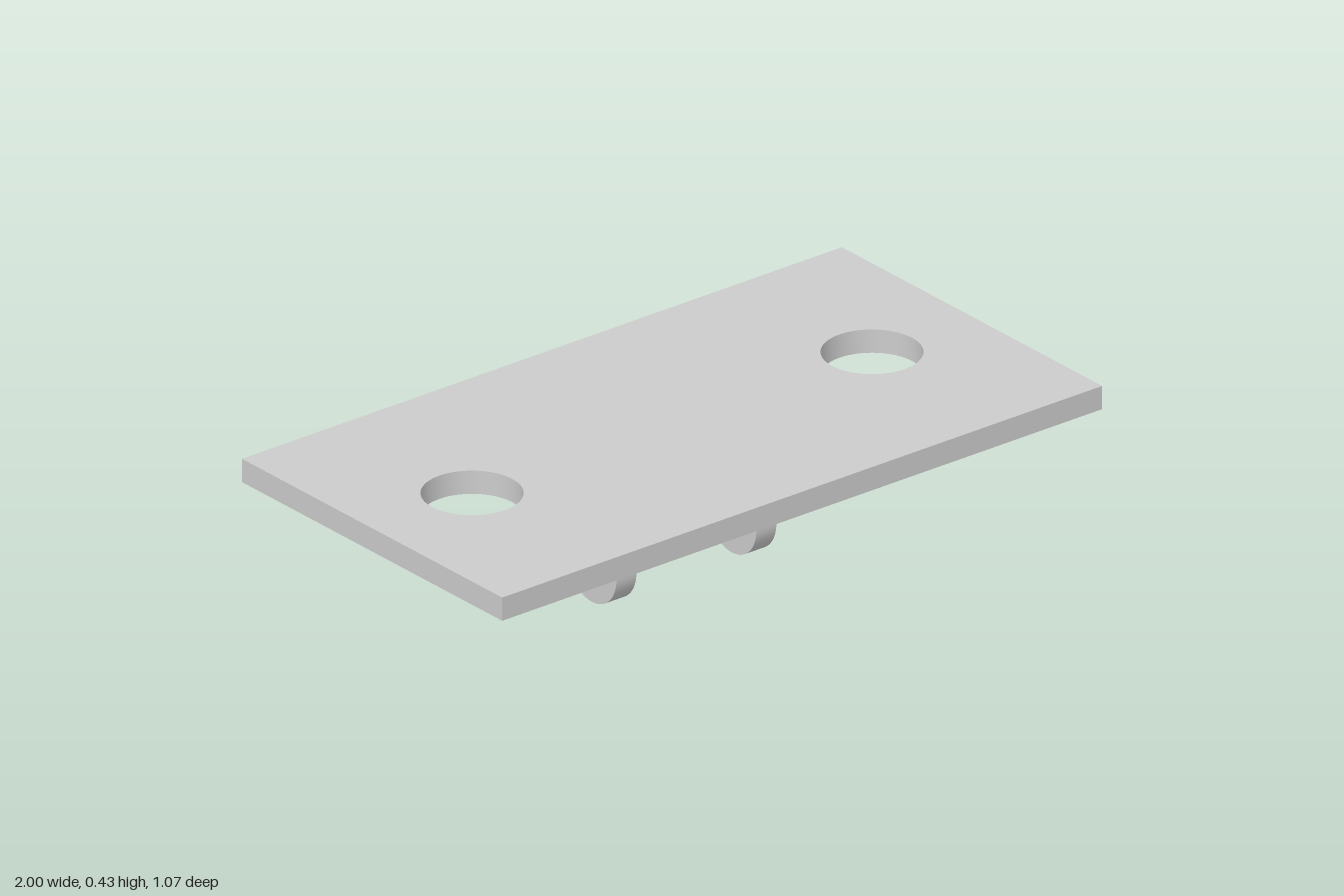
import * as THREE from 'three';
import { toCreasedNormals } from 'three/addons/utils/BufferGeometryUtils.js';

const THICK = 0.0667; // shared by plate and lugs
const PLATE_BOTTOM = 0.3675;
const HALF_DEPTH = 0.5333;
const LUG_RADIUS = 0.1;

const material = new THREE.MeshStandardMaterial({ color: 0xcccccc });

function circleHole(x, y, radius) {
  return new THREE.Path().absarc(x, y, radius, 0, Math.PI * 2, true);
}

// Extrudes a shape by the common thickness, keeping round walls smooth
function extrude(shape) {
  const geometry = new THREE.ExtrudeGeometry(shape, {
    depth: THICK, bevelEnabled: false, curveSegments: 32,
  });
  return toCreasedNormals(geometry, Math.PI / 6);
}

export function createModel() {
  const model = new THREE.Group();
  model.name = 'mountingBracket';

  // Flat rectangular plate with two large holes
  const plateShape = new THREE.Shape()
    .moveTo(-1, -HALF_DEPTH)
    .lineTo(1, -HALF_DEPTH)
    .lineTo(1, HALF_DEPTH)
    .lineTo(-1, HALF_DEPTH)
    .closePath();
  for (const side of [-1, 1]) plateShape.holes.push(circleHole(side * 0.6667, 0, 0.1333));
  const plate = new THREE.Mesh(extrude(plateShape).rotateX(-Math.PI / 2), material);
  plate.name = 'plate';
  plate.position.y = PLATE_BOTTOM;
  model.add(plate);

  // Round-ended lugs with pin holes, hanging under the plate
  const lugShape = new THREE.Shape()
    .moveTo(LUG_RADIUS, PLATE_BOTTOM)
    .lineTo(-LUG_RADIUS, PLATE_BOTTOM)
    .lineTo(-LUG_RADIUS, LUG_RADIUS)
    .absarc(0, LUG_RADIUS, LUG_RADIUS, Math.PI, Math.PI * 2, false)
    .closePath();
  lugShape.holes.push(circleHole(0, LUG_RADIUS, 0.05));
  const lugGeometry = extrude(lugShape).translate(0, 0, -THICK / 2).rotateY(Math.PI / 2);
  for (const [name, side] of [['rightLug', -1], ['leftLug', 1]]) {
    const lug = new THREE.Mesh(lugGeometry, material);
    lug.name = name;
    lug.position.x = side * 0.2333;
    model.add(lug);
  }

  return model;
}
